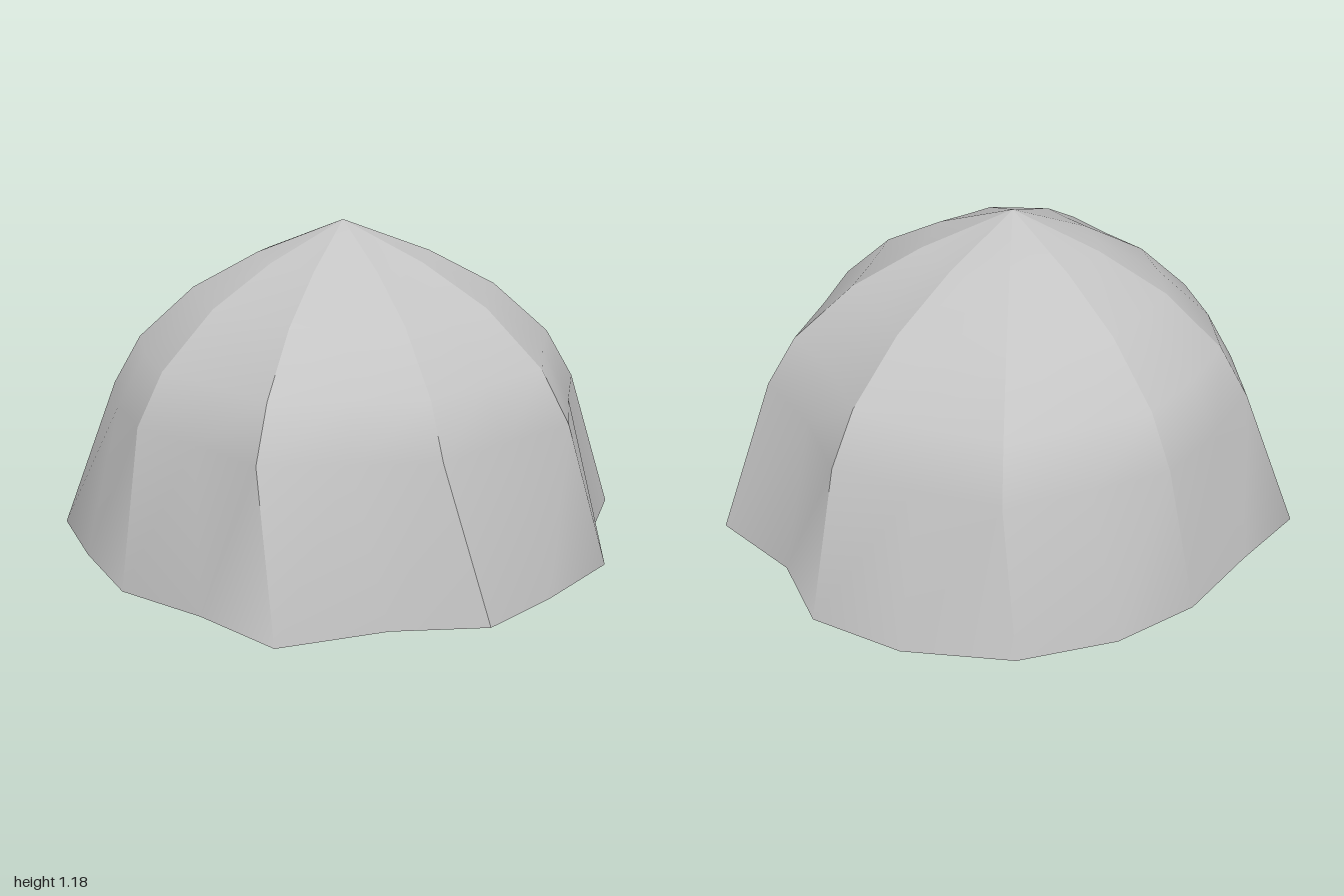
import * as THREE from 'three';

// Ground outline [x, z], two points per gore: its seam, then its sagging middle
const hem = [
  [0.34, -0.97], [0.56, -0.77], [0.91, -0.62], [0.91, -0.26], [1, 0.06], [0.86, 0.36],
  [0.72, 0.66], [0.42, 0.8], [0.1, 0.99], [-0.2, 0.86], [-0.52, 0.77], [-0.79, 0.48],
  [-1, 0.23], [-0.91, -0.08], [-0.82, -0.39], [-0.65, -0.67], [-0.38, -0.9], [0, -0.99],
];
// Radius of each of those ribs at the shoulder, where the wall turns into the roof
const shoulder = [
  0.89, 0.81, 0.9, 0.83, 0.88, 0.81, 0.86, 0.81, 0.86,
  0.77, 0.8, 0.79, 0.83, 0.8, 0.83, 0.81, 0.88, 0.84,
];
// Roof rings: [height, share of the shoulder radius]
const rings = [[0.55, 1], [0.73, 0.88], [0.92, 0.64], [1.055, 0.36]];
const apex = [0.02, 1.18, 0];
const gores = hem.length / 2;
// Gores whose leading seam stays sharp down to the ground
const sharpSeams = [1, 3];

// Point on a rib at a level: 0 is the hem, then the rings upwards
function ribPoint(rib, level) {
  if (level === 0) return [hem[rib][0], 0.01 + 0.01 * Math.sin(rib * 2.1), hem[rib][1]];
  const [y, share] = rings[level - 1];
  const a = THREE.MathUtils.degToRad(-70 + rib * 20);
  const r = shoulder[rib] * share;
  return [apex[0] * (1 - share) + r * Math.cos(a), y, r * Math.sin(a)];
}

function domeGeometry() {
  const levels = rings.length + 1;
  const stride = levels * 3 + 1;
  const positions = [];
  const indices = [];

  // Every gore has its own vertices, so roof seams are sharp; most hem corners are shared
  const id = (g, column, level) => {
    const next = (g + 1) % gores;
    if (level === 0 && column === 2 && !sharpSeams.includes(next)) return id(next, 0, 0);
    return g * stride + level * 3 + column;
  };

  for (let g = 0; g < gores; g++) {
    for (let level = 0; level < levels; level++) {
      for (let c = 0; c < 3; c++) positions.push(...ribPoint((g * 2 + c) % hem.length, level));
    }
    positions.push(...apex);

    for (let c = 0; c < 2; c++) {
      for (let level = 0; level < levels - 1; level++) {
        const a = id(g, c, level);
        const b = id(g, c + 1, level);
        const up = id(g, c, level + 1);
        const upB = id(g, c + 1, level + 1);
        indices.push(a, up, b, b, up, upB);
      }
      indices.push(id(g, c, levels - 1), g * stride + stride - 1, id(g, c + 1, levels - 1));
    }
  }

  const geometry = new THREE.BufferGeometry();
  geometry.setAttribute('position', new THREE.Float32BufferAttribute(positions, 3));
  geometry.setIndex(indices);
  geometry.computeVertexNormals();
  return geometry;
}

export function createModel() {
  const group = new THREE.Group();
  group.name = 'domeTent';

  const cloth = new THREE.MeshStandardMaterial({ color: 0xc4c4c4, side: THREE.DoubleSide });
  cloth.name = 'light grey';

  const dome = new THREE.Mesh(domeGeometry(), cloth);
  dome.name = 'domeShell';
  group.add(dome);
  return group;
}
